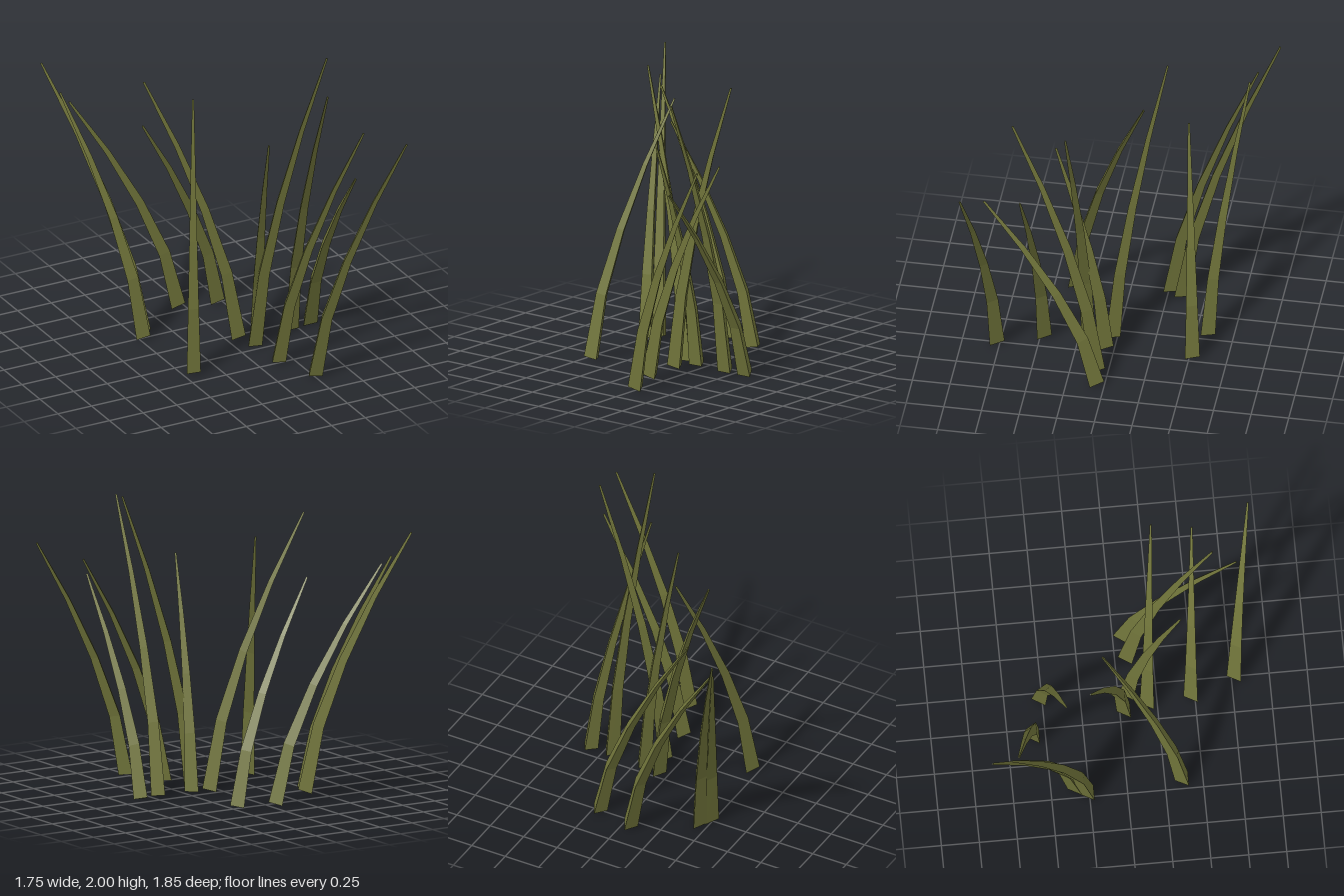
import * as THREE from 'three';

const SEGMENTS = 4;
const BASE_RADIUS = 0.06;
const TIP_RADIUS = 0.008;

// Each blade: base x, base z, tip x, height, tip z
const BLADES = [
  [-0.05, -0.57, -0.755, 1.57, -0.74],
  [0.21, -0.51, -0.395, 1.46, -0.395],
  [-0.435, -0.33, -0.867, 1.8, -0.925],
  [-0.48, -0.25, -0.797, 1.625, -0.79],
  [0.073, 0.04, -0.467, 1.86, -0.243],
  [-0.44, 0.375, -0.16, 1.71, -0.135],
  [0.195, 0.065, 0.117, 1.54, 0.402],
  [0.445, 0.08, 0.427, 1.925, 0.64],
  [0.595, 0.06, 0.545, 1.375, 0.81],
  [0.113, 0.195, 0.625, 2.0, 0.257],
  [0.135, 0.485, 0.75, 1.545, 0.537],
  [0.25, 0.78, 0.867, 1.6, 0.918],
];

// Three-sided tapered stalk whose lean grows as t^1.5, rings square to the path
function bladeGeometry([bx, bz, tx, height, tz]) {
  const path = [];
  for (let i = 0; i <= SEGMENTS; i++) {
    const t = i / SEGMENTS;
    const lean = Math.pow(t, 1.5);
    path.push(new THREE.Vector3(
      bx + (tx - bx) * lean,
      0.01 + (height - 0.01) * t,
      bz + (tz - bz) * lean,
    ));
  }

  const up = new THREE.Vector3(0, 1, 0);
  const turn = new THREE.Quaternion();
  const positions = [];
  path.forEach((point, i) => {
    const before = path[Math.max(i - 1, 0)];
    const after = path[Math.min(i + 1, SEGMENTS)];
    turn.setFromUnitVectors(up, after.clone().sub(before).normalize());
    const radius = THREE.MathUtils.lerp(BASE_RADIUS, TIP_RADIUS, i / SEGMENTS);
    for (let k = 0; k < 3; k++) {
      // ridge towards the back, flat face towards the front
      const angle = Math.PI + (k * Math.PI * 2) / 3;
      const corner = new THREE.Vector3(Math.sin(angle) * radius, 0, Math.cos(angle) * radius);
      corner.applyQuaternion(turn).add(point);
      positions.push(corner.x, corner.y, corner.z);
    }
  });

  const index = [0, 2, 1]; // bottom cap
  for (let i = 0; i < SEGMENTS; i++) {
    for (let k = 0; k < 3; k++) {
      const a = i * 3 + k;
      const b = i * 3 + ((k + 1) % 3);
      index.push(a, b, b + 3, a, b + 3, a + 3);
    }
  }
  const top = SEGMENTS * 3;
  index.push(top, top + 1, top + 2); // tip cap

  const indexed = new THREE.BufferGeometry();
  indexed.setAttribute('position', new THREE.Float32BufferAttribute(positions, 3));
  indexed.setIndex(index);
  const geometry = indexed.toNonIndexed();
  geometry.computeVertexNormals();
  return geometry;
}

export function createModel() {
  const group = new THREE.Group();
  group.name = 'grassClump';

  const olive = new THREE.MeshStandardMaterial({ color: 0x70743a });
  olive.name = 'olive green';

  BLADES.forEach((blade, i) => {
    const mesh = new THREE.Mesh(bladeGeometry(blade), olive);
    mesh.name = `grassBlade${i + 1}`;
    group.add(mesh);
  });
  return group;
}
